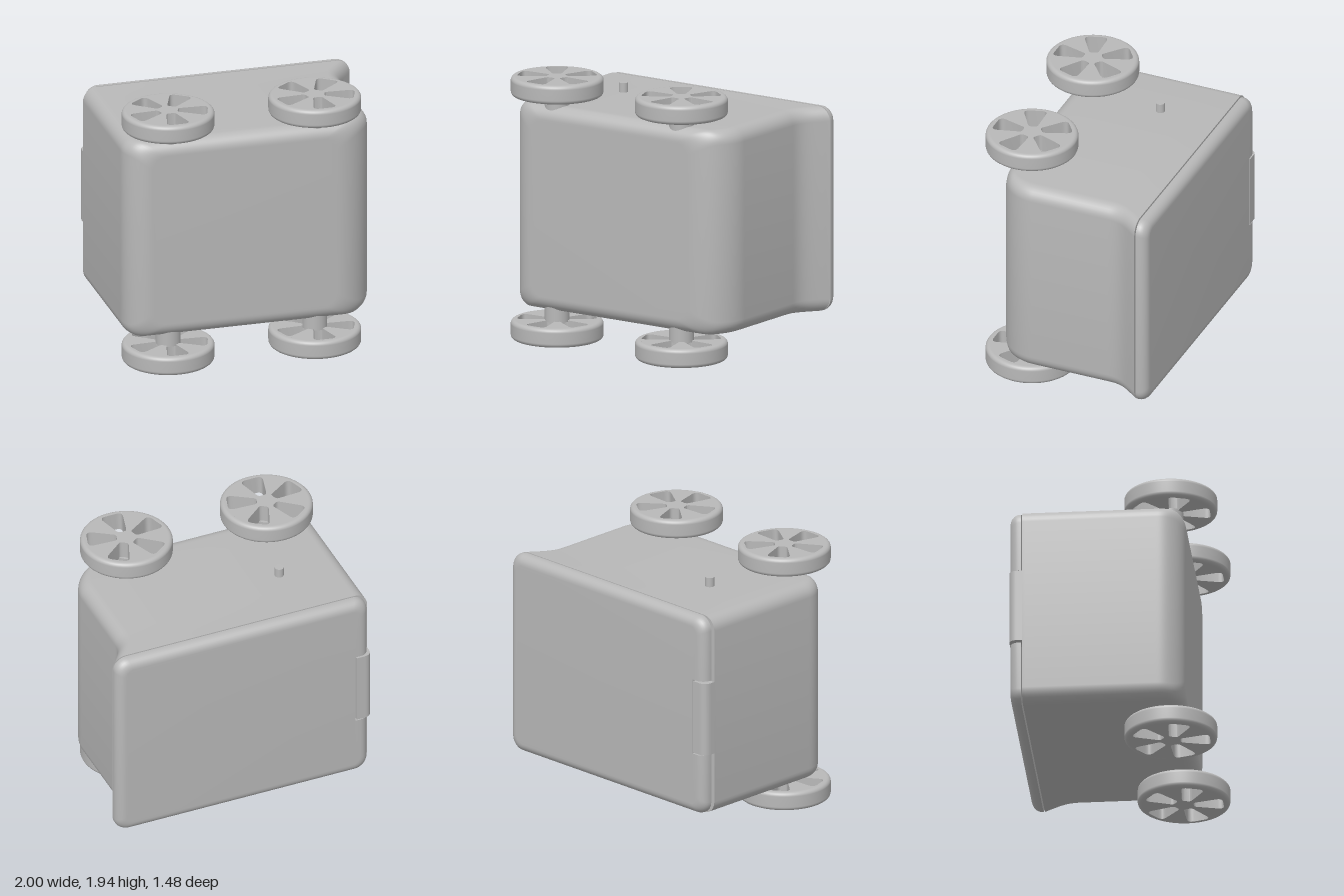
import * as THREE from 'three';
import { toCreasedNormals } from 'three/addons/utils/BufferGeometryUtils.js';

const grey = new THREE.MeshStandardMaterial({ color: 0xb8b8b8 });
grey.name = 'plain grey';
const MID_Y = 0.975;

function addMesh(parent, name, geometry, x = 0, y = 0, z = 0) {
  const mesh = new THREE.Mesh(geometry, grey);
  mesh.name = name;
  mesh.position.set(x, y, z);
  parent.add(mesh);
  return mesh;
}

// Counter-clockwise rounded rectangle; notch is an optional cut in the left side
function outline(x0, x1, y0, y1, r, notch) {
  const pts = [];
  const corners = [[x1 - r, y0 + r, -90], [x1 - r, y1 - r, 0], [x0 + r, y1 - r, 90], [x0 + r, y0 + r, 180]];
  corners.forEach(([cx, cy, start], k) => {
    if (k === 3 && notch) {
      pts.push(new THREE.Vector2(x0, notch.y1), new THREE.Vector2(notch.x, notch.y1),
        new THREE.Vector2(notch.x, notch.y0), new THREE.Vector2(x0, notch.y0));
    }
    for (let i = 0; i <= 8; i++) {
      const a = THREE.MathUtils.degToRad(start + i * 90 / 8);
      pts.push(new THREE.Vector2(cx + r * Math.cos(a), cy + r * Math.sin(a)));
    }
  });
  return pts;
}

// Closed solid through cross-sections ordered by rising z
function loft(rings) {
  const pos = [], index = [], n = rings[0].pts.length;
  rings.forEach(({ z, pts }) => pts.forEach(p => pos.push(p.x, p.y, z)));
  for (let i = 0; i < rings.length - 1; i++) {
    for (let j = 0; j < n; j++) {
      const a = i * n + j, b = i * n + (j + 1) % n;
      index.push(a, b, b + n, a, b + n, a + n);
    }
  }
  const last = (rings.length - 1) * n;
  THREE.ShapeUtils.triangulateShape(rings[0].pts, []).forEach(([a, b, c]) => index.push(a, c, b));
  THREE.ShapeUtils.triangulateShape(rings.at(-1).pts, []).forEach(([a, b, c]) => index.push(last + a, last + b, last + c));
  const g = new THREE.BufferGeometry();
  g.setAttribute('position', new THREE.Float32BufferAttribute(pos, 3));
  g.setIndex(index);
  return toCreasedNormals(g, 0.6);
}

// Inset of a quarter-round of radius r that ends at depth "end"
function fillet(z, end, r) {
  const d = Math.min(r, z - (end - r));
  return d <= 0 ? 0 : r - Math.sqrt(r * r - d * d);
}

// Extrude a plan shape (x, -z) upwards along y
function extrudeUp(shape, height) {
  return new THREE.ExtrudeGeometry(shape, { depth: height, bevelEnabled: false, curveSegments: 48 })
    .rotateX(-Math.PI / 2);
}

// Polygon path with softened corners
function softPath(points, radius) {
  const path = new THREE.Path();
  points.forEach((p, i) => {
    const prev = points.at(i - 1), next = points[(i + 1) % points.length];
    const a = p.clone().add(prev.clone().sub(p).setLength(radius[i]));
    const b = p.clone().add(next.clone().sub(p).setLength(radius[i]));
    if (i) path.lineTo(a.x, a.y); else path.moveTo(a.x, a.y);
    path.quadraticCurveTo(p.x, p.y, b.x, b.y);
  });
  path.closePath();
  return new THREE.Path(path.getPoints(6));
}

function makeBody() {
  const flare = new THREE.CubicBezierCurve(new THREE.Vector2(1, -0.648), new THREE.Vector2(0.92, -0.54),
    new THREE.Vector2(0.865, -0.49), new THREE.Vector2(0.865, -0.38));
  const levels = flare.getPoints(14).map(p => ({ z: p.y, x: p.x }));
  for (let i = 0; i <= 24; i++) levels.push({ z: 0.22 + 0.3 * Math.sin(i / 24 * Math.PI / 2), x: 0.865 });
  return loft(levels.map(({ z, x }) => {
    const iy = fillet(z, 0.52, 0.1);
    return {
      z, pts: outline(-1 + fillet(z, 0.52, 0.19), x - fillet(z, 0.52, 0.3), 0.215 + iy, 1.73 - iy, 0.1),
    };
  }));
}

function makeLid() {
  const rings = [];
  for (let i = 0; i <= 8; i++) {
    const a = i / 8 * Math.PI / 2, inset = 0.07 * (1 - Math.sin(a));
    rings.push({
      z: -0.67 - 0.07 * Math.cos(a),
      pts: outline(-0.98 + inset, 1 - inset, 0.215 + inset, 1.73 - inset, 0.1 - inset * 0.5,
        { x: -0.87, y0: 0.68, y1: 1.25 }),
    });
  }
  rings.push({ z: -0.658, pts: outline(-0.98, 1, 0.215, 1.73, 0.1, { x: -0.87, y0: 0.68, y1: 1.25 }) });
  return loft(rings);
}

// Wheel lying flat: pierced disc inside a rounded tyre
function makeWheel(name) {
  const wheel = new THREE.Group();
  wheel.name = name;
  const R = 0.335, inner = 0.3, h = 0.14, r = 0.03;
  const disc = new THREE.Shape().absarc(0, 0, inner, 0, Math.PI * 2, false);
  for (let k = 0; k < 5; k++) {
    const a = -Math.PI / 2 + k * Math.PI * 2 / 5;
    const pts = [[0.07, -0.032], [0.285, -0.09], [0.285, 0.09], [0.07, 0.032]]
      .map(([u, v]) => new THREE.Vector2(u, v).rotateAround(new THREE.Vector2(), a));
    disc.holes.push(softPath(pts, [0.02, 0.05, 0.05, 0.02]));
  }
  addMesh(wheel, 'wheelDisc', toCreasedNormals(extrudeUp(disc, h), 0.6));
  const profile = [new THREE.Vector2(inner, 0)];
  for (let i = 0; i <= 6; i++) {
    const a = -Math.PI / 2 + i * Math.PI / 12;
    profile.push(new THREE.Vector2(R - r + r * Math.cos(a), r + r * Math.sin(a)));
  }
  for (let i = 0; i <= 6; i++) {
    const a = i * Math.PI / 12;
    profile.push(new THREE.Vector2(R - r + r * Math.cos(a), h - r + r * Math.sin(a)));
  }
  profile.push(new THREE.Vector2(inner, h));
  addMesh(wheel, 'tyre', new THREE.LatheGeometry(profile, 64));
  return wheel;
}

export function createModel() {
  const model = new THREE.Group();
  model.name = 'wagonOnItsSide';

  addMesh(model, 'body', makeBody());
  addMesh(model, 'lid', makeLid());

  // Hinge knuckle in the lid's notch
  const knuckle = new THREE.Shape();
  knuckle.moveTo(-1, 0.64);
  knuckle.lineTo(-0.88, 0.64);
  knuckle.lineTo(-0.88, 0.743);
  knuckle.lineTo(-0.94, 0.743);
  knuckle.quadraticCurveTo(-1, 0.743, -1, 0.68);
  addMesh(model, 'hingeKnuckle', toCreasedNormals(extrudeUp(knuckle, 0.55), 0.6), 0, 0.69, 0);

  // Axles with a wheel at each end
  for (const [label, x] of [['rear', -0.665], ['front', 0.435]]) {
    addMesh(model, label + 'Axle', new THREE.CylinderGeometry(0.09, 0.09, 1.68, 40), x, MID_Y - 0.005, 0.4);
    for (const [side, y] of [['Lower', 0], ['Upper', 1.8]]) {
      const wheel = makeWheel(label + side + 'Wheel');
      wheel.position.set(x, y, 0.4);
      model.add(wheel);
    }
  }

  // Small peg on the upper side
  addMesh(model, 'peg', new THREE.CylinderGeometry(0.033, 0.033, 0.12, 32), -0.505, 1.74, -0.2);
  return model;
}
